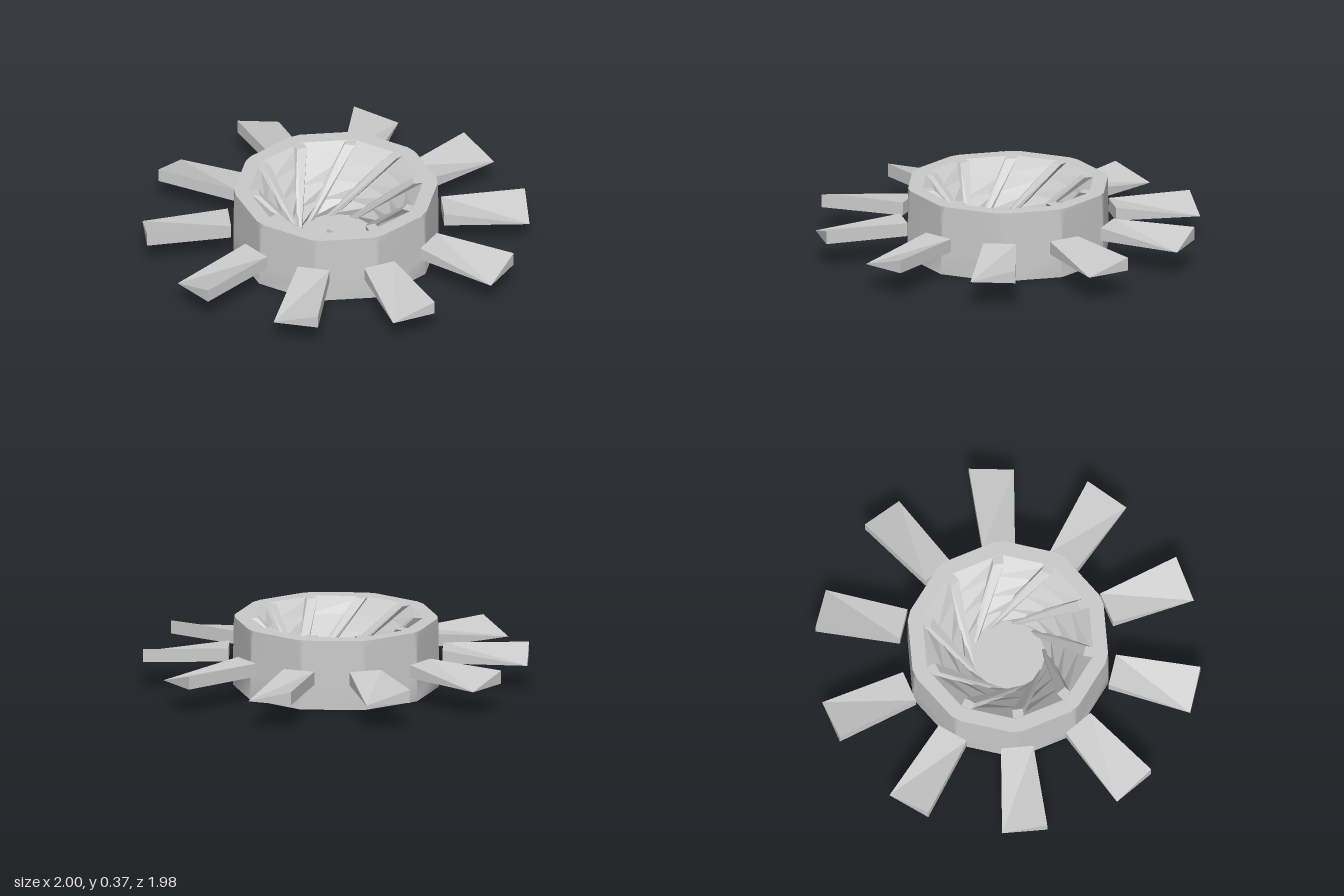
import * as THREE from 'three';
import { mergeVertices } from 'three/addons/utils/BufferGeometryUtils.js';

const N = 10, STEP = (Math.PI * 2) / N;
const TOP = 0.37, FLOOR = 0.07;
const polar = (r, a, y) => [r * Math.cos(a), y, r * Math.sin(a)];

// Joins rings of equal point count; optional caps close both ends.
function loft(rings, capped = false) {
  const n = rings[0].length, index = [];
  for (let i = 0; i < rings.length - 1; i++) {
    for (let j = 0; j < n; j++) {
      const a = i * n + j, b = i * n + (j + 1) % n;
      index.push(a, a + n, b, b, a + n, b + n);
    }
  }
  if (capped) {
    const e = (rings.length - 1) * n;
    for (let j = 1; j < n - 1; j++) index.push(0, j, j + 1, e, e + j + 1, e + j);
  }
  const g = new THREE.BufferGeometry();
  g.setAttribute('position', new THREE.Float32BufferAttribute(rings.flat(2), 3));
  g.setIndex(index);
  return g;
}

// Ten-sided ring whose corners are cut back by c along each side.
function hubRing(y, c) {
  const pts = [];
  for (let k = 0; k < N; k++) {
    const v = polar(0.537, k * STEP, y);
    for (const s of [-1, 1]) {
      const w = polar(0.537, (k + s) * STEP, y), t = c / 0.332;
      pts.push(v.map((p, i) => p + (w[i] - p) * t));
    }
  }
  return pts;
}

export function createModel() {
  const model = new THREE.Group();
  const smooth = new THREE.MeshStandardMaterial({ color: 0xcccccc });
  const flat = new THREE.MeshStandardMaterial({ color: 0xcccccc, flatShading: true });
  const add = (name, geometry, material = flat, parent = model) => {
    if (!geometry.attributes.normal) geometry.computeVertexNormals();
    const mesh = new THREE.Mesh(geometry, material);
    mesh.name = name;
    parent.add(mesh);
    return mesh;
  };

  // Hub: outer wall, base, rim and bowl floor
  add('hubWall', mergeVertices(loft([
    hubRing(0, 0), hubRing(0.13, 0.004), hubRing(0.33, 0.014), hubRing(TOP, 0.03),
  ])), smooth);
  add('hubBase', new THREE.CircleGeometry(0.537, N)).rotation.x = Math.PI / 2;

  const rim = new THREE.Shape(hubRing(0, 0.03).map(([x, , z]) => new THREE.Vector2(x, -z)));
  const hole = [];
  for (let k = 0; k < N; k++) hole.push(new THREE.Vector2(Math.cos(k * STEP), Math.sin(k * STEP)).multiplyScalar(0.457));
  rim.holes.push(new THREE.Path(hole));
  const rimMesh = add('rim', new THREE.ShapeGeometry(rim));
  rimMesh.rotation.x = -Math.PI / 2;
  rimMesh.position.y = TOP;

  const floor = add('bowlFloor', new THREE.CircleGeometry(0.215, 40));
  floor.rotation.x = -Math.PI / 2;
  floor.position.y = FLOOR;

  // Bowl: straight lines from the rim to the floor, swept round by the twist
  const twist = THREE.MathUtils.degToRad(-57), rings = [];
  for (let i = 0; i <= 4; i++) {
    const t = i / 4, ring = [];
    for (let k = 0; k < N; k++) {
      const a = polar(0.457, k * STEP, TOP), b = polar(0.205, k * STEP + twist, FLOOR);
      ring.push(a.map((p, m) => p + (b[m] - p) * t));
    }
    rings.push(ring);
  }
  add('bowl', loft(rings));

  // Ribs: level-ended bars that follow the twist
  const ribEnd = (r0, r1, half, a, y) =>
    [[r1, -half], [r1, half], [r0, half], [r0, -half]].map(([r, t]) => [
      r * Math.cos(a) - t * Math.sin(a), y, r * Math.sin(a) + t * Math.cos(a),
    ]);
  const lean = THREE.MathUtils.degToRad(-2);
  const ribGeometry = loft([
    ribEnd(0.18, 0.215, 0.02, lean + twist, FLOOR - 0.01),
    ribEnd(0.405, 0.46, 0.028, lean, TOP - 0.001),
  ], true);

  // Vanes: rectangular inner end, wedge-shaped outer end
  const lo = 0.145, hi = 0.215;
  const vaneGeometry = loft([
    [[0.557, lo, 0.085], [0.557, hi, 0.085], [0.557, hi, -0.085], [0.557, lo, -0.085]],
    [[1, lo, 0.118], [1, lo + 0.001, 0.118], [1, hi, -0.118], [1, lo, -0.118]],
  ], true);

  const ribs = new THREE.Group(), vanes = new THREE.Group();
  ribs.name = 'ribs';
  vanes.name = 'vanes';
  model.add(ribs, vanes);
  for (let k = 0; k < N; k++) {
    add('rib', ribGeometry, flat, ribs).rotation.y = k * STEP;
    add('vane', vaneGeometry, flat, vanes).rotation.y = k * STEP;
  }
  return model;
}
